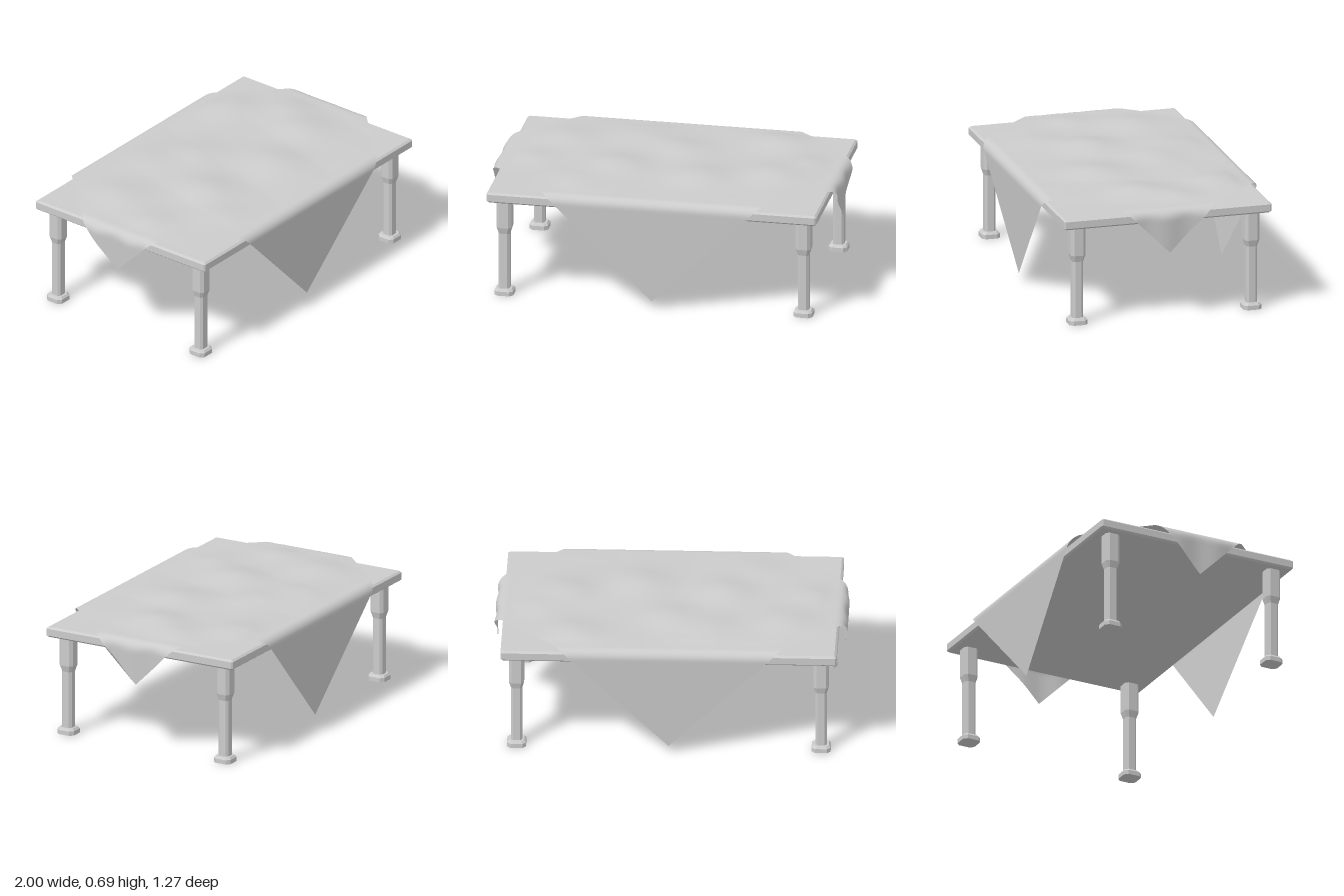
import * as THREE from 'three';

const grey = { color: 0xcccccc };

// Stack of rectangles with cut corners: rings of [y, halfX, halfZ, cornerCut], bottom to top
function loft(rings) {
  const pos = [];
  const loops = rings.map(([y, a, b, c]) => [
    [a, y, b - c], [a - c, y, b], [c - a, y, b], [-a, y, b - c],
    [-a, y, c - b], [c - a, y, -b], [a - c, y, -b], [a, y, c - b],
  ]);
  for (let i = 0; i < loops.length - 1; i++) {
    for (let j = 0; j < 8; j++) {
      const k = (j + 1) % 8, lo = loops[i], hi = loops[i + 1];
      pos.push(...lo[j], ...hi[k], ...lo[k], ...lo[j], ...hi[j], ...hi[k]);
    }
  }
  const bottom = loops[0], top = loops[loops.length - 1];
  for (let j = 1; j < 7; j++) {
    pos.push(...bottom[0], ...bottom[j], ...bottom[j + 1]);
    pos.push(...top[0], ...top[j + 1], ...top[j]);
  }
  const g = new THREE.BufferGeometry();
  g.setAttribute('position', new THREE.Float32BufferAttribute(pos, 3));
  g.computeVertexNormals();
  return g;
}

// Soft puffs in the cloth: [x, z, radius, height]
const puffs = [
  [-0.65, -0.25, 0.17, 0.022], [-0.3, 0.1, 0.16, 0.028], [-0.25, -0.35, 0.18, 0.018],
  [0.02, -0.2, 0.15, 0.022], [0.2, 0.2, 0.17, 0.026], [0.6, 0.08, 0.16, 0.026],
  [0.55, -0.4, 0.15, 0.024], [-0.5, 0.35, 0.14, 0.014], [0.75, -0.12, 0.12, 0.014],
  [-0.78, 0.08, 0.12, 0.014],
];

// Bends a flat distance over a table edge: returns [outward position, drop]
function fold(d, start, slope) {
  const r = 0.05, a = Math.abs(d), t = a - start, quarter = r * Math.PI / 2;
  if (t <= 0) return [d, 0];
  const s = Math.sign(d);
  if (t < quarter) return [s * (start + r * Math.sin(t / r)), r * (1 - Math.cos(t / r))];
  const hang = t - quarter;
  return [s * (start + r - slope * hang), r + hang];
}

function clothGeometry() {
  const D = 1.23, g = new THREE.PlaneGeometry(2 * D, 2 * D, 96, 96), p = g.attributes.position;
  for (let i = 0; i < p.count; i++) {
    // a square turned by 45 degrees
    const u = p.getX(i), v = p.getY(i);
    const fx = (u + v) / 2, fz = (u - v) / 2;
    let [x, dropX] = fold(fx, 0.945, 0.06);
    let [z, dropZ] = fold(fz, 0.585, 0.065);
    // puffs fade out toward the table edges
    const fade = THREE.MathUtils.smoothstep(0.62 - Math.abs(fz), 0, 0.15)
      * THREE.MathUtils.smoothstep(0.98 - Math.abs(fx), 0, 0.15);
    let lift = 0.004 * Math.abs(Math.sin(7 * fx + 2 * fz));
    for (const [px, pz, r, h] of puffs) {
      lift += h * Math.exp(-((fx - px) ** 2 + (fz - pz) ** 2) / (r * r));
    }
    // gentle ripples on the short hanging ends
    const ripple = Math.min(1, dropX / 0.05) * 0.006 * Math.sin(fz * 26 + Math.sign(fx));
    x += Math.sign(fx) * ripple;
    p.setXYZ(i, x, 0.662 + lift * fade - dropX - dropZ, z);
  }
  g.computeVertexNormals();
  return g;
}

export function createModel() {
  const model = new THREE.Group();
  const wood = new THREE.MeshStandardMaterial({ ...grey, flatShading: true });
  const fabric = new THREE.MeshStandardMaterial({ ...grey, side: THREE.DoubleSide });
  const add = (name, geometry, material) => {
    const mesh = new THREE.Mesh(geometry, material);
    mesh.name = name;
    model.add(mesh);
    return mesh;
  };

  // Bevelled slab
  add('tableTop', loft([
    [0.578, 0.94, 0.6, 0.004], [0.588, 0.952, 0.612, 0.008],
    [0.628, 0.952, 0.612, 0.008], [0.638, 0.94, 0.6, 0.004],
  ]), wood);

  // Legs: spreading foot, slim shaft, thicker head
  const legGeometry = loft([
    [0, 0.054, 0.054, 0.02], [0.025, 0.054, 0.054, 0.02], [0.038, 0.044, 0.044, 0.018],
    [0.038, 0.032, 0.032, 0.013], [0.37, 0.032, 0.032, 0.013],
    [0.408, 0.043, 0.043, 0.016], [0.58, 0.043, 0.043, 0.016],
  ]);
  for (const sx of [-1, 1]) for (const sz of [-1, 1]) {
    const name = (sz > 0 ? 'front' : 'back') + (sx > 0 ? 'Left' : 'Right') + 'Leg';
    add(name, legGeometry, wood).position.set(sx * 0.863, 0, sz * 0.514);
  }

  // Cloth laid diagonally with its four corners hanging
  add('tablecloth', clothGeometry(), fabric);
  return model;
}
